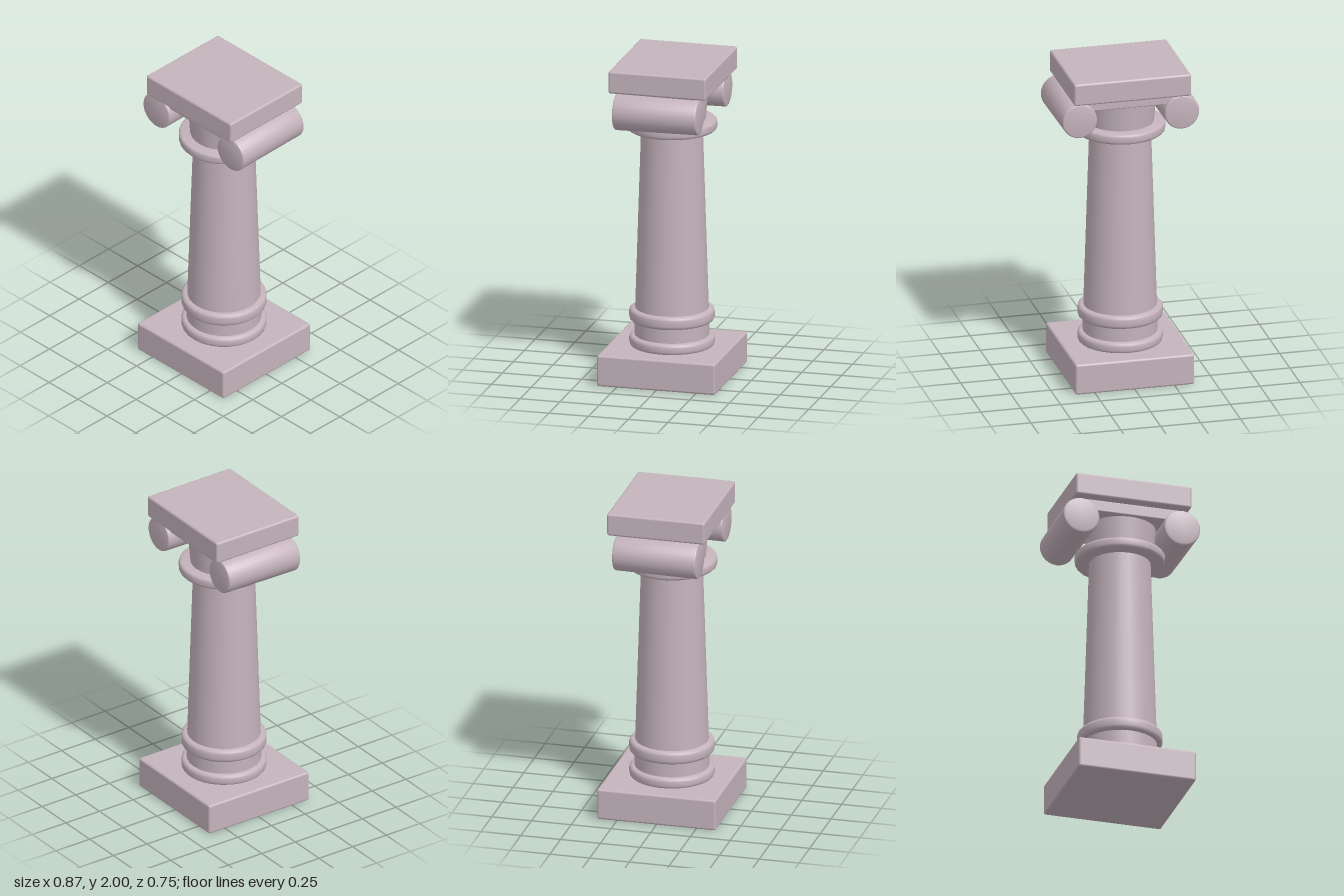
import * as THREE from 'three';
import { toCreasedNormals } from 'three/addons/utils/BufferGeometryUtils.js';
import { RoundedBoxGeometry } from 'three/addons/geometries/RoundedBoxGeometry.js';

const SIDES = 28;

// Solid of revolution from y0 to y1 with softly rounded rims
function roundedDrum(r0, r1, y0, y1, bevel) {
  const points = [new THREE.Vector2(0, y0)];
  const steps = 3;
  for (let i = 0; i <= steps; i++) {
    const a = (i / steps) * Math.PI / 2;
    points.push(new THREE.Vector2(r0 - bevel + Math.sin(a) * bevel, y0 + bevel - Math.cos(a) * bevel));
  }
  for (let i = 0; i <= steps; i++) {
    const a = (i / steps) * Math.PI / 2;
    points.push(new THREE.Vector2(r1 - bevel + Math.cos(a) * bevel, y1 - bevel + Math.sin(a) * bevel));
  }
  points.push(new THREE.Vector2(0, y1));
  return toCreasedNormals(new THREE.LatheGeometry(points, SIDES), 0.6);
}

export function createModel() {
  const column = new THREE.Group();
  column.name = 'column';
  const stone = new THREE.MeshStandardMaterial({ color: 0xc5b3bc });
  stone.name = 'pinkish stone';

  function add(name, geometry) {
    const mesh = new THREE.Mesh(geometry, stone);
    mesh.name = name;
    column.add(mesh);
    return mesh;
  }
  function slab(name, width, depth, y0, y1, bevel, x = 0, z = 0) {
    const mesh = add(name, new RoundedBoxGeometry(width, y1 - y0, depth, 2, bevel));
    mesh.position.set(x, (y0 + y1) / 2, z);
  }

  // Square foot
  slab('plinth', 0.746, 0.746, 0, 0.196, 0.014);

  // Base mouldings
  add('lowerBaseRing', roundedDrum(0.26, 0.26, 0.19, 0.26, 0.022));
  add('baseDrum', new THREE.CylinderGeometry(0.228, 0.228, 0.16, SIDES).translate(0, 0.29, 0));
  add('upperBaseRing', roundedDrum(0.26, 0.26, 0.35, 0.43, 0.022));

  // Tapered shaft and collar
  add('shaft', new THREE.CylinderGeometry(0.187, 0.225, 1.2, SIDES).translate(0, 1.0, 0));
  add('collar', roundedDrum(0.276, 0.276, 1.56, 1.625, 0.018));

  // Capital: flaring neck, bridge and a scroll on each side
  add('neck', new THREE.CylinderGeometry(0.22, 0.205, 0.19, SIDES).translate(0, 1.705, 0));
  slab('scrollBridge', 0.66, 0.48, 1.787, 1.862, 0.008);
  for (const side of [-1, 1]) {
    const scroll = add(side > 0 ? 'leftScroll' : 'rightScroll', roundedDrum(0.109, 0.115, -0.264, 0.262, 0.01));
    scroll.rotation.x = Math.PI / 2;
    scroll.position.set(side * 0.32 - 0.002, 1.738, 0);
  }

  // Top slab
  slab('abacus', 0.734, 0.615, 1.858, 2, 0.014, -0.001, -0.005);

  return column;
}
